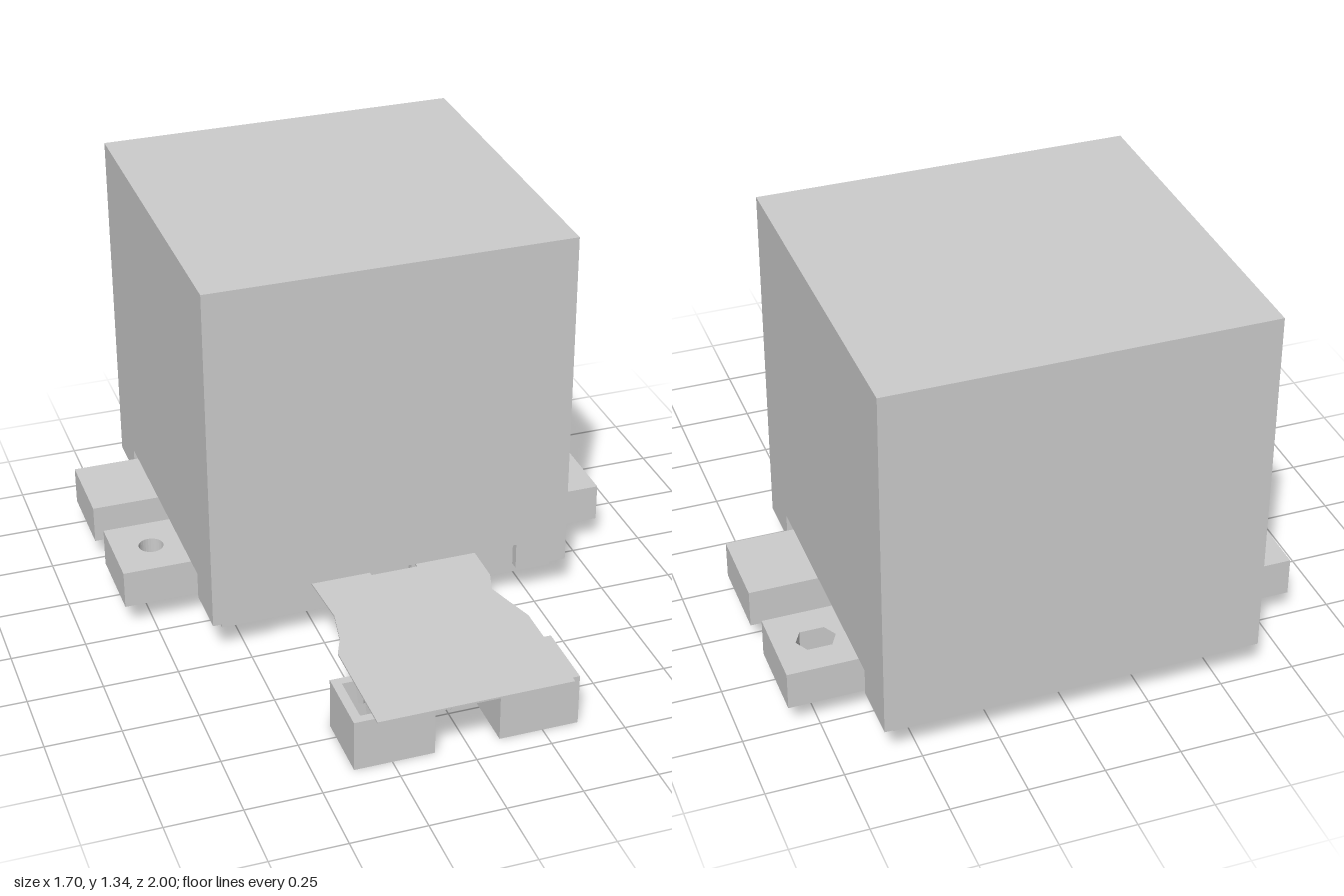
import * as THREE from 'three';

const material = new THREE.MeshStandardMaterial({ color: 0xcccccc, flatShading: true, side: THREE.DoubleSide });

function add(parent, name, geometry) {
  const mesh = new THREE.Mesh(geometry, material);
  mesh.name = name;
  parent.add(mesh);
  return mesh;
}

// Box given by its limits on each axis
function box(parent, name, x0, x1, y0, y1, z0, z1) {
  const mesh = add(parent, name, new THREE.BoxGeometry(x1 - x0, y1 - y0, z1 - z0));
  mesh.position.set((x0 + x1) / 2, (y0 + y1) / 2, (z0 + z1) / 2);
  return mesh;
}

// Plan outlines are drawn as (x, -z) and extruded upwards from y0 to y1
function slab(parent, name, shape, y0, y1) {
  const geometry = new THREE.ExtrudeGeometry(shape, { depth: y1 - y0, bevelEnabled: false, curveSegments: 14 });
  geometry.rotateX(-Math.PI / 2);
  geometry.translate(0, y0, 0);
  return add(parent, name, geometry);
}

const points = (list) => list.map(([x, z]) => new THREE.Vector2(x, -z));

function circleHole(x, z, r) {
  return new THREE.Path().absarc(x, -z, r, 0, Math.PI * 2, true);
}

function createHousing() {
  const g = new THREE.Group();
  g.name = 'housing';
  box(g, 'housingBody', -0.62, 0.62, 0.222, 1.335, -1, 0.22);
  // Lower lip, cut away for the cable and the mounting tabs
  const t = 0.03;
  box(g, 'backLip', -0.62, 0.62, 0.13, 0.222, -1, -1 + t);
  for (const s of [-1, 1]) {
    const span = (a, b) => [Math.min(s * a, s * b), Math.max(s * a, s * b)];
    box(g, 'frontLip', ...span(0.44, 0.62), 0.13, 0.222, 0.22 - t, 0.22);
    box(g, 'sideLipFront', ...span(0.62 - t, 0.62), 0.13, 0.222, 0.04, 0.22 - t);
    box(g, 'sideLipBack', ...span(0.62 - t, 0.62), 0.13, 0.222, -1 + t, -0.81);
  }
  return g;
}

function createBase() {
  const g = new THREE.Group();
  g.name = 'base';
  // Plate with four tabs and a round-ended slot between each pair
  const s = new THREE.Shape();
  const line = (list) => list.forEach(([x, z]) => s.lineTo(x, -z));
  s.moveTo(-0.58, -0.18);
  line([[-0.08, 0.18], [-0.08, 0.15], [0.08, 0.15], [0.08, 0.18], [0.58, 0.18],
    [0.58, -0.04], [0.85, -0.04], [0.85, -0.32], [0.58, -0.32]]);
  s.absarc(0.58, 0.395, 0.075, -Math.PI / 2, Math.PI / 2, true);
  line([[0.85, -0.47], [0.85, -0.75], [0.58, -0.75], [0.58, -0.96], [-0.58, -0.96],
    [-0.58, -0.75], [-0.85, -0.75], [-0.85, -0.47], [-0.58, -0.47]]);
  s.absarc(-0.58, 0.395, 0.075, Math.PI / 2, -Math.PI / 2, true);
  line([[-0.85, -0.32], [-0.85, -0.04], [-0.58, -0.04]]);
  // Centre opening, round screw hole and elongated screw hole
  s.holes.push(circleHole(0.03, -0.37, 0.15), circleHole(-0.72, -0.18, 0.042));
  s.holes.push(new THREE.Path(points([[0.65, -0.61], [0.675, -0.655], [0.755, -0.655],
    [0.78, -0.61], [0.755, -0.565], [0.675, -0.565]])));
  slab(g, 'mountingPlate', s, 0.09, 0.221);
  return g;
}

function createCable() {
  // Flat ribbon with a narrowed waist and a notch at the housing
  const shape = new THREE.Shape(points([
    [-0.325, 1], [0.32, 1], [0.32, 0.62], [0.295, 0.54], [0.265, 0.44], [0.29, 0.36], [0.29, 0.16],
    [0.08, 0.16], [0.08, 0.235], [-0.08, 0.235], [-0.08, 0.16],
    [-0.285, 0.16], [-0.27, 0.42], [-0.295, 0.55], [-0.325, 0.62],
  ]));
  const g = new THREE.Group();
  g.name = 'cable';
  slab(g, 'ribbon', shape, 0.216, 0.222);
  return g;
}

function createConnector() {
  const g = new THREE.Group();
  g.name = 'connector';
  // Two hollow sockets, open above and below
  for (const [x0, x1] of [[-0.375, -0.11], [0.105, 0.37]]) {
    const t = 0.03;
    const frame = new THREE.Shape(points([[x0, 0.925], [x1, 0.925], [x1, 0.69], [x0, 0.69]]));
    frame.holes.push(new THREE.Path(points([
      [x0 + t, 0.925 - t], [x0 + t, 0.69 + t], [x1 - t, 0.69 + t], [x1 - t, 0.925 - t]])));
    slab(g, 'socket', frame, 0, 0.178);
  }
  // Rows of small irregular contact pins under the ribbon
  for (let row = 0; row < 2; row++) {
    for (let i = 0; i < 15; i++) {
      const h = 0.085 + 0.015 * Math.sin(i * 2.3 + row);
      const pin = add(g, 'contactPin', new THREE.CylinderGeometry(0.026, 0.014, h, 5));
      pin.position.set(-0.295 + i * 0.042, 0.214 - h / 2, 0.765 + row * 0.1);
      pin.rotation.y = i * 1.3 + row;
    }
  }
  return g;
}

export function createModel() {
  const model = new THREE.Group();
  model.name = 'boxedModule';
  model.add(createHousing(), createBase(), createCable(), createConnector());
  return model;
}
